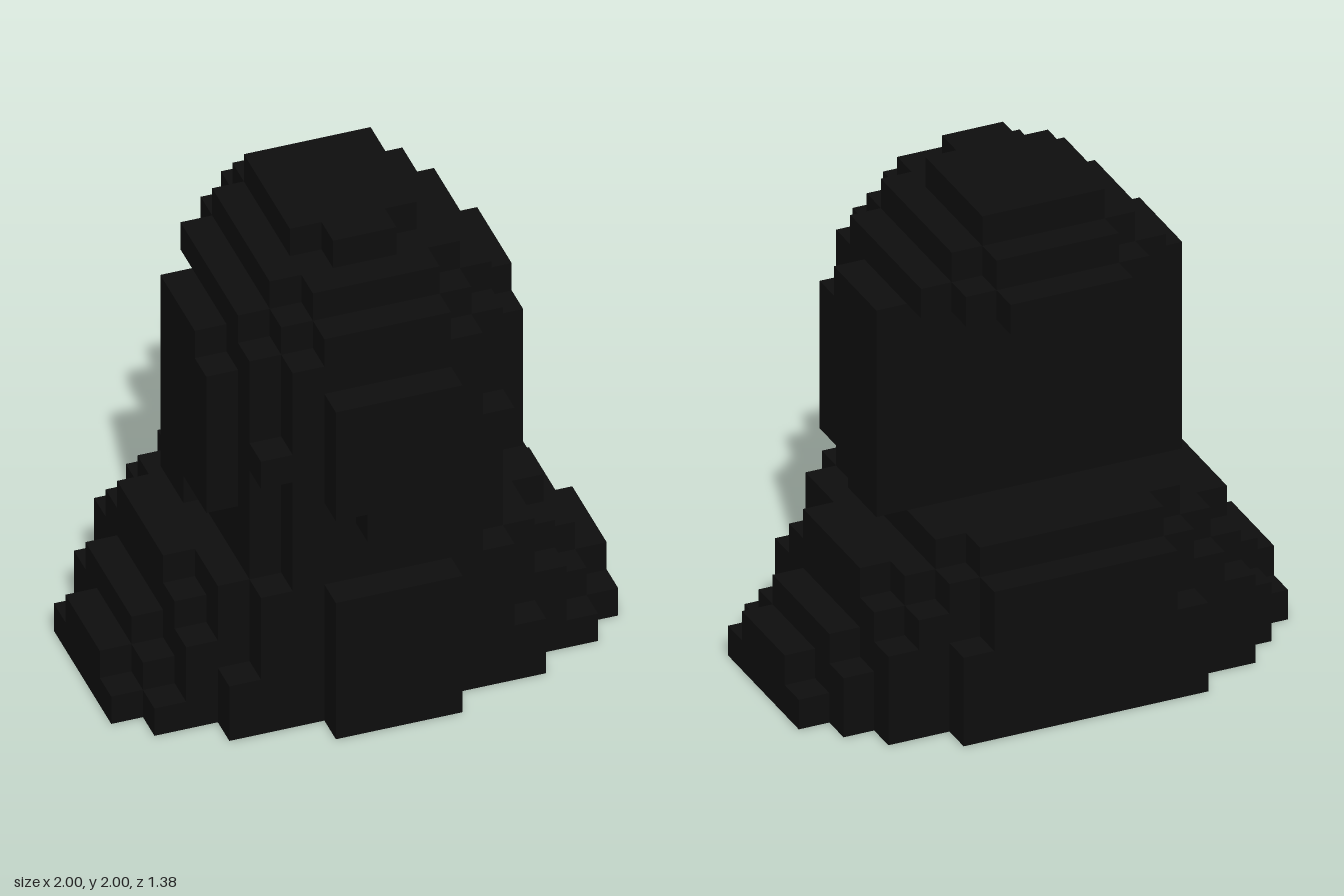
import * as THREE from 'three';

const V = 0.125; // voxel size
const BACK = -5.5 * V; // rear edge of the first row

// Each slab: bottom layer, layer count, first row from the back, half-widths per row (in voxels)
const PARTS = {
  shoulders: [
    [0, 1, 0, [4, 6, 7, 8, 8, 8, 8, 8, 7, 5, 2]],
    [1, 1, 0, [4, 6, 7, 7, 8, 8, 8, 7, 6, 5, 2]],
    [2, 1, 0, [4, 6, 6, 7, 7, 7, 7, 6, 6, 4, 2]],
    [3, 1, 0, [3, 5, 6, 6, 6, 6, 6, 6, 5, 4, 2]],
    [4, 1, 0, [3, 4, 5, 6, 6, 6, 6, 5, 5, 4, 2]],
  ],
  collar: [[5, 1, 1, [3, 4, 4, 4, 4, 4, 4, 4, 3]]],
  head: [
    [6, 1, 4, [5, 5, 4, 4, 4, 3]],
    [7, 1, 4, [5, 5, 5, 5, 4, 3, 1]],
    [8, 1, 4, [5, 5, 5, 5, 4, 3, 2]],
    [9, 1, 4, [5, 5, 5, 5, 4, 4, 2]],
    [10, 2, 4, [5, 5, 5, 5, 4, 3, 2]],
    [12, 1, 4, [5, 5, 5, 4, 4, 3]],
  ],
  crown: [
    [13, 1, 1, [2, 3, 4, 4, 4, 4, 4, 3, 2]],
    [14, 1, 2, [2, 3, 3, 3, 3, 3, 2]],
    [15, 1, 3, [2, 2, 2, 2, 1]],
  ],
};

// Stepped outline mirrored across x = 0, extruded upward
function slabGeometry(layer, count, firstRow, widths) {
  const side = [];
  widths.forEach((w, i) => {
    const z = BACK + (firstRow + i) * V;
    side.push([w * V, z], [w * V, z + V]);
  });
  const outline = [...side, ...side.map(([x, z]) => [-x, z]).reverse()]
    .filter(([x, z], i, all) => {
      // drop points lying on a straight run
      const [px, pz] = all[(i + all.length - 1) % all.length];
      const [nx, nz] = all[(i + 1) % all.length];
      const straightX = px === x && nx === x;
      const straightZ = pz === z && nz === z;
      return !straightX && !straightZ;
    })
    .map(([x, z]) => new THREE.Vector2(x, -z));
  const geometry = new THREE.ExtrudeGeometry(new THREE.Shape(outline), {
    depth: count * V, bevelEnabled: false,
  });
  geometry.rotateX(-Math.PI / 2);
  geometry.translate(0, layer * V, 0);
  return geometry;
}

export function createModel() {
  const model = new THREE.Group();
  model.name = 'voxelBust';
  const black = new THREE.MeshStandardMaterial({ color: 0x0d0d0d });
  black.name = 'black';

  for (const [name, slabs] of Object.entries(PARTS)) {
    const part = new THREE.Group();
    part.name = name;
    slabs.forEach((slab, i) => {
      const mesh = new THREE.Mesh(slabGeometry(...slab), black);
      mesh.name = `${name}Layer${i + 1}`;
      part.add(mesh);
    });
    model.add(part);
  }
  return model;
}
